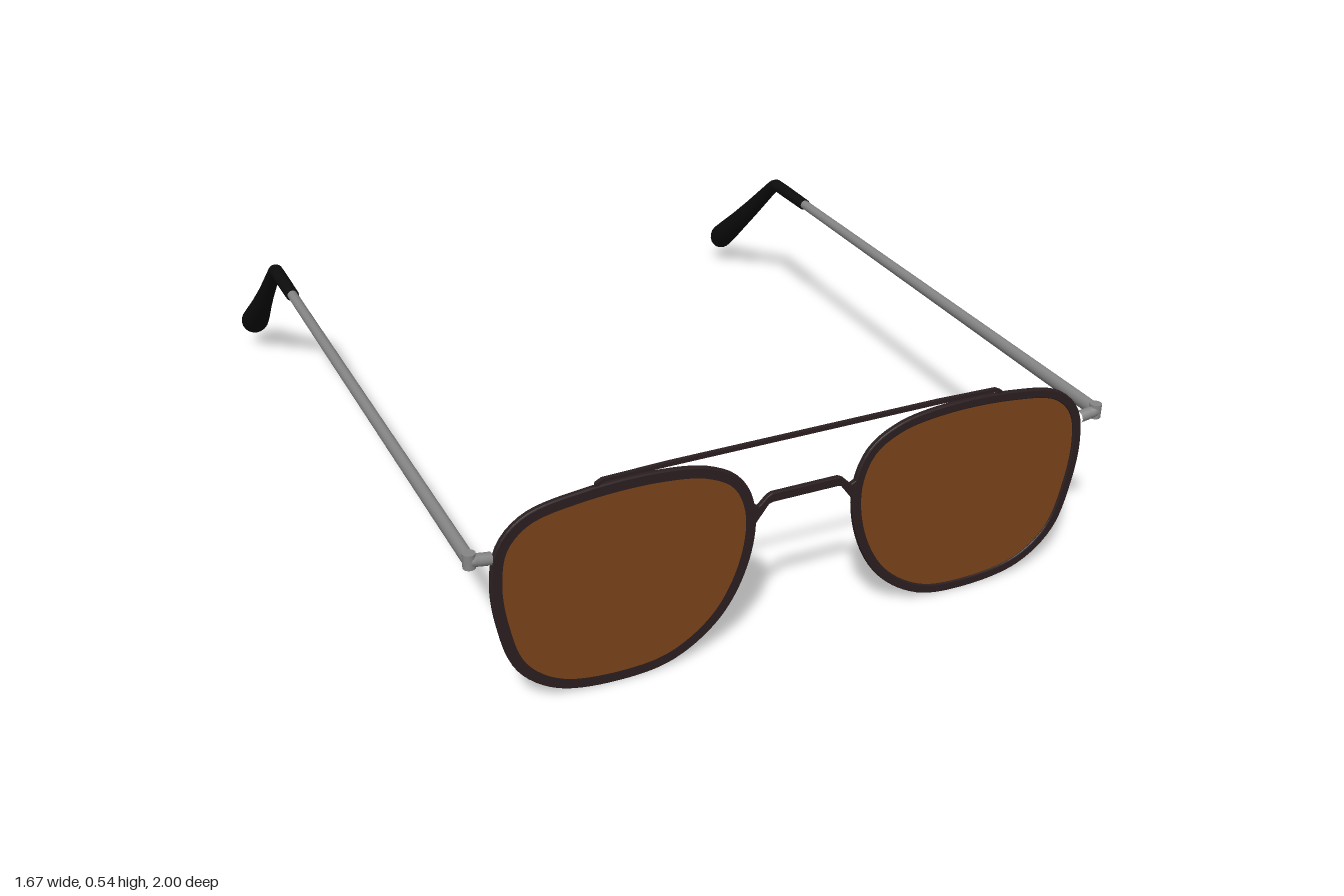
import * as THREE from 'three';

const mat = (color) => new THREE.MeshStandardMaterial({ color });
const rimMat = mat(0x2b1f20);
const lensMat = mat(0x7a4319);
const metalMat = mat(0x858585);
const tipMat = mat(0x0c0c0c);
lensMat.side = THREE.DoubleSide;

const FRONT_Z = 0.988;
const ARM_X = 0.795;

function addMesh(parent, name, geometry, material) {
  const mesh = new THREE.Mesh(geometry, material);
  mesh.name = name;
  parent.add(mesh);
  return mesh;
}

// Centre line of one rim, on the +x side
const RIM = [
  [0.36, 0.511], [0.24, 0.49], [0.17, 0.445], [0.137, 0.36], [0.152, 0.23], [0.215, 0.11],
  [0.32, 0.034], [0.43, 0.015], [0.60, 0.037], [0.69, 0.108], [0.731, 0.23],
  [0.742, 0.344], [0.725, 0.426], [0.67, 0.48], [0.54, 0.507],
];
const rimCurve = new THREE.CatmullRomCurve3(
  RIM.map(([x, y]) => new THREE.Vector3(x, y, 0)), true, 'centripetal');

// Rim outline moved sideways by d (positive is outward)
function rimOutline(side, d) {
  const points = [];
  for (let i = 0; i < 96; i++) {
    const p = rimCurve.getPointAt(i / 96);
    const t = rimCurve.getTangentAt(i / 96);
    points.push(new THREE.Vector2(side * (p.x + t.y * d), p.y - t.x * d));
  }
  return points;
}

// Thin plate centred on the plane of the front
function plate(shape, depth, bevel = 0) {
  const g = new THREE.ExtrudeGeometry(shape, {
    depth: depth - 2 * bevel, bevelEnabled: bevel > 0, bevelSize: bevel,
    bevelThickness: bevel, bevelOffset: -bevel, bevelSegments: 2, curveSegments: 12,
  });
  return g.translate(0, 0, FRONT_Z - depth / 2 + bevel);
}

// Loft of elliptical rings [topZ, topY, bottomZ, bottomY, halfWidth], running towards -z
function loft(rings, sides = 20) {
  const pos = [], index = [];
  const pushRing = ([tz, ty, bz, by, w], scale = 1) => {
    for (let j = 0; j < sides; j++) {
      const a = (j / sides) * Math.PI * 2, c = (Math.cos(a) * scale) / 2;
      pos.push(w * scale * Math.sin(a), (ty + by) / 2 + (ty - by) * c, (tz + bz) / 2 + (tz - bz) * c);
    }
  };
  pushRing(rings[0], 0);
  rings.forEach((r) => pushRing(r));
  // slightly domed far end
  const [tz, ty, bz, by, w] = rings[rings.length - 1];
  pushRing([tz - 0.005, ty - 0.002, bz - 0.005, by - 0.002, w], 0.8);
  pushRing([tz - 0.008, ty - 0.003, bz - 0.008, by - 0.003, w], 0);
  for (let i = 0; i < rings.length + 2; i++) {
    for (let j = 0; j < sides; j++) {
      const k = (j + 1) % sides;
      const a = i * sides + j, b = i * sides + k;
      index.push(a, b, a + sides, b, b + sides, a + sides);
    }
  }
  const g = new THREE.BufferGeometry();
  g.setAttribute('position', new THREE.Float32BufferAttribute(pos, 3));
  g.setIndex(index);
  g.computeVertexNormals();
  return g;
}

export function createModel() {
  const model = new THREE.Group();
  model.name = 'sunglasses';

  for (const side of [1, -1]) {
    const half = new THREE.Group();
    half.name = side > 0 ? 'leftHalf' : 'rightHalf';
    model.add(half);

    // Rim and lens
    const ring = new THREE.Shape(rimOutline(side, 0.0115));
    ring.holes.push(new THREE.Path(rimOutline(side, -0.0115)));
    addMesh(half, 'rim', plate(ring, 0.014, 0.003), rimMat);
    addMesh(half, 'lens', plate(new THREE.Shape(rimOutline(side, -0.006)), 0.005), lensMat);

    // Corner piece joining the rim to the arm
    const corner = new THREE.CatmullRomCurve3([
      new THREE.Vector3(side * 0.748, 0.402, 0.986),
      new THREE.Vector3(side * 0.775, 0.406, 0.986),
      new THREE.Vector3(side * 0.793, 0.409, 0.984),
      new THREE.Vector3(side * ARM_X, 0.409, 0.965),
    ]);
    addMesh(half, 'cornerPiece', new THREE.TubeGeometry(corner, 16, 0.0145, 14), metalMat);
    const knuckle = addMesh(half, 'hingeKnuckle',
      new THREE.CylinderGeometry(0.0145, 0.0145, 0.036, 16), metalMat);
    knuckle.position.set(side * ARM_X, 0.409, 0.984);

    // Arm and bent ear tip
    const arm = addMesh(half, 'arm', loft([
      [0.985, 0.427, 0.985, 0.391, 0.0145],
      [-0.46, 0.422, -0.46, 0.396, 0.0135],
    ]), metalMat);
    const tip = addMesh(half, 'earTip', loft([
      [-0.44, 0.424, -0.44, 0.392, 0.018],
      [-0.56, 0.425, -0.56, 0.391, 0.019],
      [-0.625, 0.424, -0.612, 0.391, 0.019],
      [-0.645, 0.415, -0.625, 0.383, 0.018],
      [-0.667, 0.398, -0.645, 0.365, 0.018],
      [-0.796, 0.29, -0.764, 0.247, 0.022],
      [-0.89, 0.213, -0.857, 0.16, 0.03],
      [-0.962, 0.157, -0.93, 0.092, 0.038],
      [-0.992, 0.133, -0.972, 0.056, 0.041],
    ]), tipMat);
    arm.position.x = tip.position.x = side * ARM_X;
  }

  // Nose bridge: flat middle with two arms sloping down to the rims
  const bridgeHalf = [[0.085, 0.4], [0.097, 0.394], [0.118, 0.373], [0.14, 0.385],
    [0.146, 0.33], [0.128, 0.325], [0.122, 0.335], [0.093, 0.374], [0.082, 0.377]];
  const bridge = new THREE.Shape([
    ...bridgeHalf.map(([x, y]) => new THREE.Vector2(x, y)),
    ...bridgeHalf.map(([x, y]) => new THREE.Vector2(-x, y)).reverse(),
  ]);
  addMesh(model, 'bridge', plate(bridge, 0.013, 0.002), rimMat);
  const pad = addMesh(model, 'bridgeBar', new THREE.CapsuleGeometry(0.009, 0.15, 6, 14), rimMat);
  pad.rotation.z = Math.PI / 2;
  pad.position.set(0, 0.388, 0.983);

  // Thin brow bar, its ends dropping onto the rims
  const browHalf = [[0.34, 0.54], [0.495, 0.536], [0.51, 0.528], [0.514, 0.508],
    [0.503, 0.51], [0.5, 0.525], [0.49, 0.529], [0.34, 0.53]];
  const brow = new THREE.Shape([
    ...browHalf.map(([x, y]) => new THREE.Vector2(x, y)),
    ...browHalf.map(([x, y]) => new THREE.Vector2(-x, y)).reverse(),
  ]);
  addMesh(model, 'browBar', plate(brow, 0.01), rimMat);

  return model;
}
